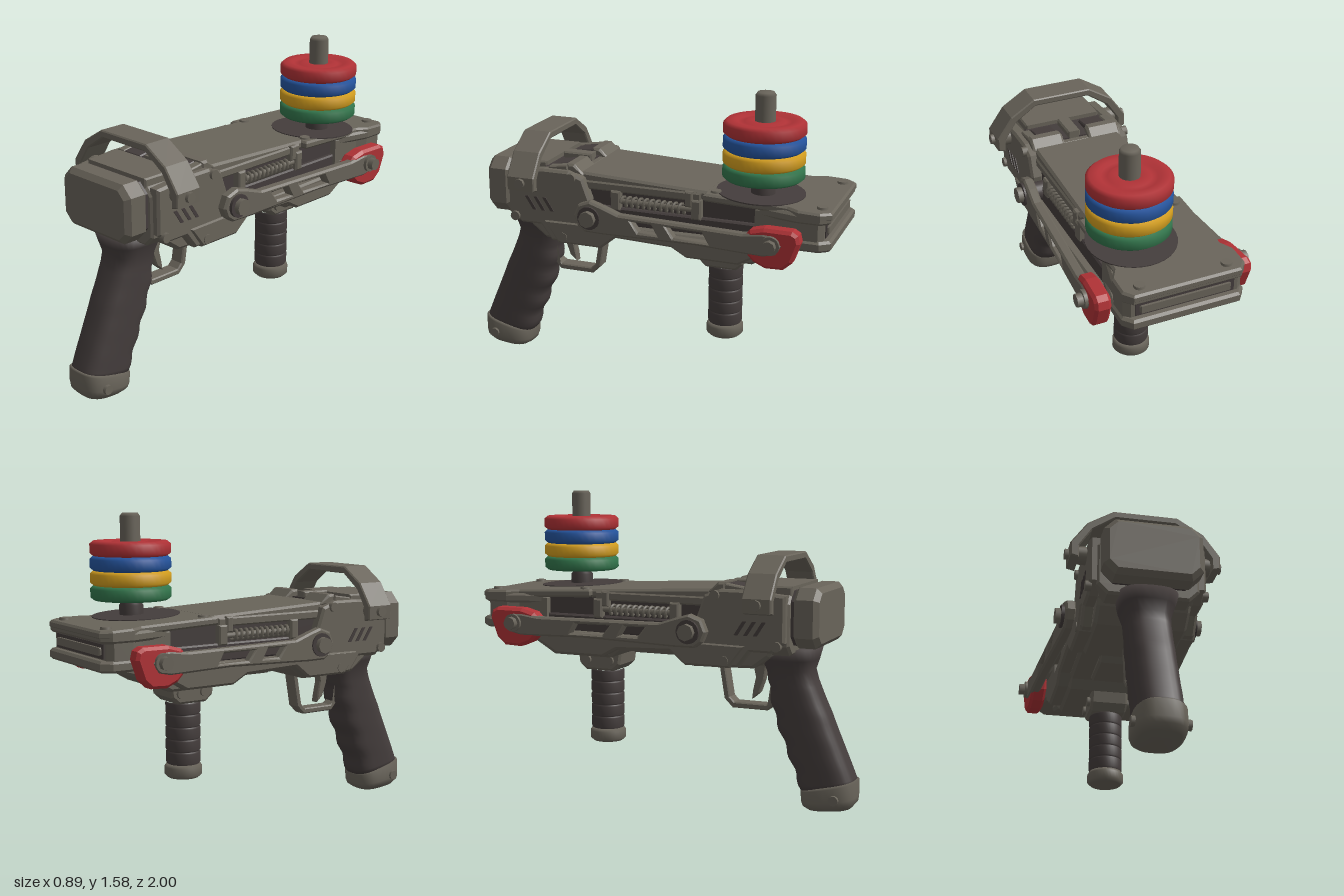
import * as THREE from 'three';

const mat = (name, color) => Object.assign(new THREE.MeshStandardMaterial({ color }), { name });

export function createModel() {
  const grey = mat('warm grey', 0x69645a), dark = mat('dark rubber', 0x443d3c);
  const red = mat('red', 0xb03236), blue = mat('blue', 0x25559f);
  const yellow = mat('yellow', 0xd6a01f), green = mat('green', 0x33774d);
  const model = new THREE.Group();

  function add(name, geo, material) {
    const m = new THREE.Mesh(geo, material);
    m.name = name;
    model.add(m);
    return m;
  }

  // Bevelled prism along an axis. Outline: x -> (z,y), y -> (x,z), z -> (x,y)
  function prism(name, axis, pts, a, b, material, bevel = 0.012, holes = []) {
    const lo = Math.min(a, b), hi = Math.max(a, b);
    const vec = p => p.map(q => new THREE.Vector2(q[0], q[1]));
    const shape = new THREE.Shape(vec(pts));
    holes.forEach(h => shape.holes.push(new THREE.Path(vec(h))));
    const g = new THREE.ExtrudeGeometry(shape, {
      depth: hi - lo - 2 * bevel, bevelEnabled: bevel > 0, bevelThickness: bevel,
      bevelSize: bevel, bevelOffset: -bevel, bevelSegments: 1
    });
    if (axis === 'x') g.rotateY(-Math.PI / 2).translate(hi - bevel, 0, 0);
    if (axis === 'y') g.rotateX(Math.PI / 2).translate(0, hi - bevel, 0);
    if (axis === 'z') g.translate(0, 0, lo + bevel);
    return add(name, g, material);
  }
  const rect = (u0, v0, u1, v1) => [[u0, v0], [u1, v0], [u1, v1], [u0, v1]];
  const box = (name, x0, x1, y0, y1, z0, z1, m, bevel = 0.008) =>
    prism(name, 'x', rect(z0, y0, z1, y1), x0, x1, m, bevel);
  // Outline symmetric about x = 0, given for the +x half
  const sym = half => [...half, ...half.map(p => [-p[0], p[1]]).reverse()];

  // Cylinder lying along x from a to b
  function pin(name, a, b, y, z, r, m, sides = 20) {
    const g = new THREE.CylinderGeometry(r, r, Math.abs(b - a), sides).rotateZ(Math.PI / 2);
    return add(name, g.translate((a + b) / 2, y, z), m);
  }

  // Loft through descending rings [y, z, halfZ, halfX, tilt]
  function loft(name, rings, m, n = 28) {
    const pos = [], idx = [], sq = v => Math.sign(v) * Math.pow(Math.abs(v), 0.7);
    rings.forEach(([y, z, hz, hx, tilt]) => {
      for (let j = 0; j < n; j++) {
        const t = j / n * Math.PI * 2, dz = sq(Math.sin(t)) * hz;
        pos.push(sq(Math.cos(t)) * hx, y + dz * tilt, z + dz);
      }
    });
    const last = rings.length - 1;
    [rings[0], rings[last]].forEach(r => pos.push(0, r[0], r[1]));
    const c = rings.length * n;
    for (let j = 0; j < n; j++) {
      const k = (j + 1) % n;
      for (let i = 0; i < last; i++) {
        const a = i * n + j, b = i * n + k;
        idx.push(a, b, a + n, b, b + n, a + n);
      }
      idx.push(c, k, j, c + 1, last * n + j, last * n + k);
    }
    const g = new THREE.BufferGeometry();
    g.setAttribute('position', new THREE.Float32BufferAttribute(pos, 3));
    g.setIndex(idx);
    g.computeVertexNormals();
    return add(name, g, m);
  }

  // Body core, top cover and keel
  box('bodyCore', -0.225, 0.225, 0.86, 1.06, -0.9, 0.7, dark);
  prism('topCover', 'x', [[0.3, 1.04], [0.3, 1.115], [-0.37, 1.085], [-0.37, 1.04]], -0.24, 0.24, grey);
  prism('keel', 'x', [[0.66, 0.88], [0.6, 0.79], [0.52, 0.73], [0.2, 0.72], [0.12, 0.78], [-0.22, 0.77],
    [-0.27, 0.73], [-0.6, 0.73], [-0.72, 0.8], [-0.95, 0.87], [-0.95, 0.9], [-0.3, 0.88]], -0.23, 0.23, grey, 0.015);
  prism('keelRib', 'x', [[0.1, 0.79], [0.05, 0.75], [-0.18, 0.75], [-0.24, 0.79]], -0.12, 0.12, grey);

  // Front deck, sloping slightly down to a slotted nose
  const deck = prism('frontDeck', 'y', sym([[0.275, -0.36], [0.275, -0.78], [0.31, -0.84], [0.31, -0.95], [0.27, -1]]),
    1.045, 1.085, grey, 0.01);
  const dp = deck.geometry.attributes.position;
  for (let i = 0; i < dp.count; i++) dp.setY(i, dp.getY(i) + (dp.getZ(i) + 0.36) * 0.04);
  deck.geometry.computeVertexNormals();
  prism('noseBlock', 'y', sym([[0.26, -0.62], [0.275, -0.78], [0.3, -0.84], [0.3, -0.94], [0.27, -0.965]]), 0.88, 1.04, grey);
  prism('noseLowerLip', 'y', sym([[0.26, -0.64], [0.31, -0.84], [0.31, -0.95], [0.27, -1]]), 0.865, 0.92, grey);
  prism('noseUpperLip', 'y', sym([[0.26, -0.64], [0.31, -0.84], [0.31, -0.95], [0.27, -0.995]]), 1.0, 1.05, grey);
  box('noseSlot', -0.25, 0.25, 0.925, 0.995, -0.97, -0.94, dark, 0);
  box('noseBar', -0.23, 0.23, 0.94, 0.978, -0.982, -0.94, grey, 0.006);
  for (const [x, z] of [[-0.22, -0.94], [0.22, -0.94], [-0.22, -0.41], [0.22, -0.41]]) {
    add('deckBolt', new THREE.CylinderGeometry(0.026, 0.03, 0.02, 12).translate(x, z < -0.7 ? 1.063 : 1.083, z), grey);
  }

  // Rear block, end cap and sighting notch
  const oct = (w, y0, y1, c) => sym([[w - c, y0], [w, y0 + c], [w, y1 - c], [w - c, y1]]);
  prism('rearBlock', 'z', oct(0.25, 0.8, 1.11, 0.05), 0.3, 0.71, grey);
  prism('rearSeal', 'z', oct(0.225, 0.85, 1.12, 0.05), 0.68, 0.75, dark);
  prism('rearCap', 'z', oct(0.24, 0.84, 1.135, 0.055), 0.715, 0.85, grey, 0.025);
  box('notchFloor', -0.22, 0.22, 1.09, 1.118, 0.34, 0.52, dark);
  box('sightPost', -0.035, 0.035, 1.1, 1.15, 0.34, 0.5, grey);
  box('rearTop', -0.21, 0.21, 1.09, 1.14, 0.51, 0.71, grey);

  // Hoop over the rear block
  prism('hoop', 'z', [...sym([[0.33, 1.01], [0.37, 1.02], [0.372, 1.09], [0.29, 1.205], [0.16, 1.285]]),
    ...sym([[0.328, 1.075], [0.265, 1.17], [0.15, 1.248]]).reverse()], 0.51, 0.66, grey, 0.006);

  const armHole = (z0, z1) => [[z0, 0.92], [z0 - 0.04, 0.87], [z1, 0.87], [z1 + 0.03, 0.92]];
  class Coil extends THREE.Curve {
    constructor(x) { super(); this.x = x; }
    getPoint(t, v = new THREE.Vector3()) {
      const a = t * Math.PI * 22;
      return v.set(this.x + Math.cos(a) * 0.024, 0.985 + Math.sin(a) * 0.024, 0.08 - 0.34 * t);
    }
  }

  for (const s of [1, -1]) {
    // Rear side plate with vents, notch walls and bolts
    prism('sidePlate', 'x', [[0.7, 0.87], [0.7, 1.1], [0.5, 1.12], [0.36, 1.12], [0.28, 1.09], [0.24, 0.98],
      [0.27, 0.82], [0.36, 0.74], [0.46, 0.74], [0.52, 0.82], [0.63, 0.82]], s * 0.22, s * 0.285, grey);
    prism('notchWall', 'x', [[0.38, 1.1], [0.38, 1.152], [0.34, 1.152], [0.285, 1.1]], s * 0.07, s * 0.25, grey);
    prism('notchPad', 'x', [[0.5, 1.1], [0.48, 1.13], [0.38, 1.145], [0.37, 1.1]], s * 0.08, s * 0.2, dark, 0.006);
    prism('notchRim', 'x', [[0.5, 1.09], [0.48, 1.13], [0.38, 1.145], [0.37, 1.09]], s * 0.2, s * 0.25, grey, 0.006);
    for (let i = 0; i < 3; i++) {
      const z = 0.585 - i * 0.05;
      prism('vent', 'x', [[z + 0.02, 0.97], [z, 0.97], [z - 0.045, 0.9], [z - 0.025, 0.9]], s * 0.283, s * 0.289, dark, 0);
    }
    for (const [z, y] of [[0.34, 1.09], [0.66, 0.855], [0.39, 0.77]]) pin('sideBolt', s * 0.27, s * 0.3, y, z, 0.025, grey, 12);
    pin('hoopBoss', s * 0.26, s * 0.345, 1.06, 0.585, 0.045, grey);
    pin('hoopBolt', s * 0.34, s * 0.39, 1.06, 0.585, 0.027, grey, 8);

    // Rails and lower skirt
    box('upperRail', s * 0.21, s * 0.248, 1.03, 1.075, -0.34, 0.28, grey);
    box('railClip', s * 0.21, s * 0.262, 1.0, 1.08, -0.3, -0.26, grey);
    box('lowerRail', s * 0.2, s * 0.25, 0.86, 0.95, -0.62, 0.28, dark);
    prism('lowerSkirt', 'x', [[0.5, 0.85], [0.42, 0.735], [0.18, 0.735], [0.1, 0.8], [-0.2, 0.79], [-0.28, 0.745],
      [-0.55, 0.745], [-0.68, 0.82], [-0.68, 0.87]], s * 0.2, s * 0.295, grey);

    // Spring on its rod
    add('springRod', new THREE.CylinderGeometry(0.014, 0.014, 0.46, 10).rotateX(Math.PI / 2).translate(s * 0.24, 0.985, -0.1), grey);
    add('spring', new THREE.TubeGeometry(new Coil(s * 0.24), 220, 0.008, 5), grey);
    for (const z of [0.11, -0.32]) box('springMount', s * 0.2, s * 0.265, 0.94, 1.04, z - 0.025, z + 0.025, grey);

    // Swinging arm, splayed outward towards the nose
    const splay = m => {
      const p = m.geometry.attributes.position;
      for (let i = 0; i < p.count; i++) p.setX(i, p.getX(i) + s * (0.22 - p.getZ(i)) * 0.065);
      m.geometry.computeVertexNormals();
    };
    splay(prism('arm', 'x', [[0.31, 0.91], [0.285, 0.97], [0.22, 0.995], [0.15, 0.975], [0.06, 0.945], [-0.6, 0.945],
      [-0.7, 0.96], [-0.76, 0.955], [-0.795, 0.91], [-0.765, 0.86], [-0.7, 0.845], [-0.35, 0.85], [-0.1, 0.84],
      [0.15, 0.83], [0.25, 0.83], [0.29, 0.86]], s * 0.285, s * 0.34, grey, 0.01,
    [armHole(-0.01, -0.15), armHole(-0.2, -0.42)]));
    splay(prism('armTip', 'x', [[-0.6, 0.86], [-0.65, 0.81], [-0.71, 0.785], [-0.8, 0.79], [-0.845, 0.83], [-0.88, 0.93],
      [-0.87, 0.97], [-0.84, 0.987], [-0.7, 0.985], [-0.63, 0.965], [-0.59, 0.92]], s * 0.25, s * 0.333, red, 0.015));
    pin('pivotAxle', s * 0.2, s * 0.35, 0.91, 0.22, 0.05, dark);
    pin('pivotWasher', s * 0.33, s * 0.352, 0.91, 0.22, 0.06, dark);
    pin('pivotBolt', s * 0.34, s * 0.38, 0.91, 0.22, 0.042, grey, 8);
    pin('tipWasher', s * 0.39, s * 0.415, 0.91, -0.74, 0.046, grey);
    pin('tipBolt', s * 0.4, s * 0.445, 0.91, -0.74, 0.033, grey, 8);
    for (const z of [-0.335, -0.47]) pin('collarBolt', s * 0.08, s * 0.115, 0.69, z, 0.025, grey, 10);
    pin('gripCapBolt', s * 0.1, s * 0.135, 0.08, 0.91, 0.025, grey, 10);
  }

  // Rear grip with shallow finger grooves, and its end cap
  const grip = [[0.82, 0.64, 0.155, 0.15, 0], [0.76, 0.64, 0.14, 0.13, 0], [0.7, 0.645, 0.118, 0.112, 0.05]];
  for (let i = 0; i <= 20; i++) {
    const t = i / 20, w = 0.004 * Math.sin(t * Math.PI * 8);
    grip.push([0.65 - t * 0.53, 0.655 + t * 0.2 + w - 0.015 * Math.sin(t * Math.PI) * (1 - t),
      0.122 + Math.min(t * 3, 1) * 0.018 - w, 0.11, 0.05 + t * 0.15]);
  }
  loft('rearGrip', grip, dark);
  loft('rearGripCap', [[0.135, 0.855, 0.135, 0.11, 0.24], [0.125, 0.855, 0.143, 0.122, 0.24], [0.06, 0.858, 0.14, 0.125, 0.15],
    [0.035, 0.86, 0.135, 0.118, 0.12], [0.012, 0.862, 0.11, 0.095, 0.1]], grey);

  // Trigger guard and trigger
  prism('triggerGuard', 'x', [[0.57, 0.53], [0.53, 0.485], [0.34, 0.485], [0.295, 0.53], [0.26, 0.74], [0.57, 0.74]], -0.04, 0.04, grey, 0.006,
    [[[0.56, 0.715], [0.295, 0.715], [0.325, 0.54], [0.35, 0.515], [0.525, 0.515], [0.56, 0.54]]]);
  prism('trigger', 'x', [[0.52, 0.74], [0.505, 0.64], [0.48, 0.57], [0.44, 0.535], [0.445, 0.58], [0.46, 0.65], [0.44, 0.74]], -0.025, 0.025, grey, 0.006);

  // Front grip
  const turned = (name, pts, m, x = 0, y = 0, z = -0.4) =>
    add(name, new THREE.LatheGeometry(pts.map(p => new THREE.Vector2(p[0], p[1])), 36).translate(x, y, z), m);
  prism('frontGripCollar', 'x', [[-0.27, 0.74], [-0.28, 0.67], [-0.32, 0.635], [-0.48, 0.635], [-0.52, 0.67], [-0.53, 0.74]], -0.1, 0.1, grey);
  const ribs = [[0.084, 0.3]];
  for (let i = 0; i < 5; i++) ribs.push([0.084, 0.315 + i * 0.064], [0.089, 0.322 + i * 0.064], [0.089, 0.37 + i * 0.064], [0.084, 0.377 + i * 0.064]);
  turned('frontGrip', ribs, dark);
  turned('frontGripCap', [[0, 0.24], [0.08, 0.24], [0.096, 0.255], [0.096, 0.295], [0.085, 0.312], [0, 0.312]], grey);

  // Peg with stacked rings
  add('pegBase', new THREE.CylinderGeometry(0.22, 0.22, 0.006, 36).rotateX(-0.04).translate(0.105, 1.0765, -0.605), dark);
  turned('pegCollar', [[0.06, 1.06], [0.06, 1.125], [0.052, 1.135], [0.052, 1.16]], dark, 0.125, 0, -0.62);
  turned('peg', [[0.05, 1.1], [0.05, 1.565], [0.04, 1.58], [0, 1.58]], grey, 0.125, 0, -0.62);
  [['green', green], ['yellow', yellow], ['blue', blue], ['red', red]].forEach(([n, m], i) =>
    turned(n + 'Ring', [[0.05, 0], [0.185, 0], [0.202, 0.014], [0.202, 0.058], [0.185, 0.073], [0.145, 0.073],
      [0.13, 0.063], [0.1, 0.063], [0.085, 0.073], [0.05, 0.068]], m, 0.125, 1.152 + i * 0.073, -0.62));

  return model;
}
